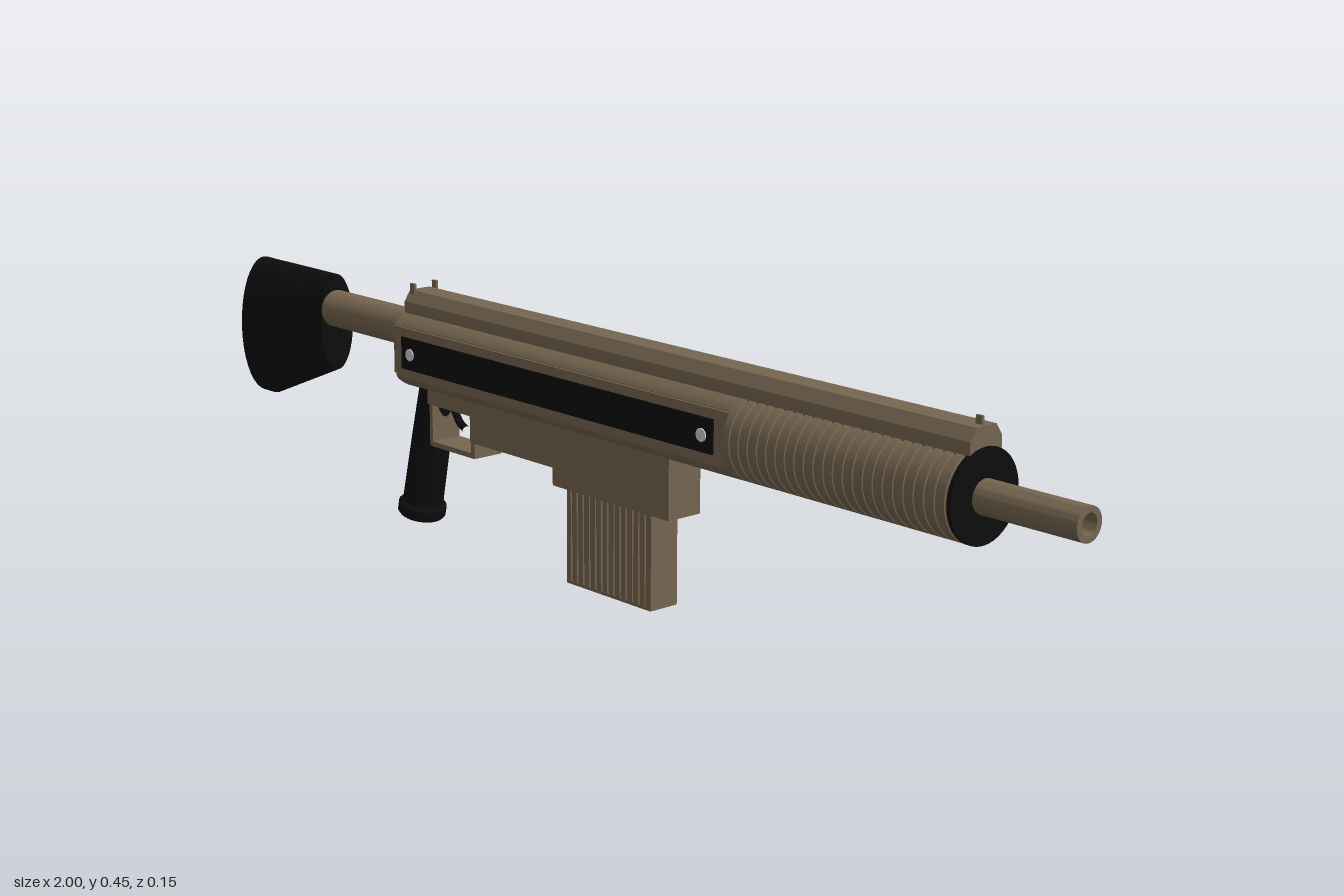
import * as THREE from 'three';
import { toCreasedNormals } from 'three/addons/utils/BufferGeometryUtils.js';

const AXIS = 0.333; // height of the barrel axis

function material(name, color) {
  const m = new THREE.MeshStandardMaterial({ color });
  m.name = name;
  return m;
}

// Skin over elliptical sections [x, centreY, radiusY, radiusZ] along x, closed at both ends.
function loft(sections, sides = 32) {
  const first = sections[0], last = sections[sections.length - 1];
  const rings = [[first[0], first[1], 0, 0], ...sections, [last[0], last[1], 0, 0]];
  const point = ([x, cy, ry, rz], j) => {
    const a = (j % sides) / sides * Math.PI * 2;
    return [x, cy + ry * Math.cos(a), rz * Math.sin(a)];
  };
  const pos = [];
  for (let i = 0; i < rings.length - 1; i++) {
    const p = rings[i], q = rings[i + 1];
    for (let j = 0; j < sides; j++) {
      if (p[2] > 0) pos.push(...point(p, j), ...point(p, j + 1), ...point(q, j));
      if (q[2] > 0) pos.push(...point(p, j + 1), ...point(q, j + 1), ...point(q, j));
    }
  }
  const g = new THREE.BufferGeometry();
  g.setAttribute('position', new THREE.Float32BufferAttribute(pos, 3));
  return toCreasedNormals(g, 0.5);
}

// Round turned part: list of [x, radius]
const turned = (list, cy = AXIS, sides = 32) => loft(list.map(([x, r]) => [x, cy, r, r]), sides);

// Extrude a (z, y) outline along x from x0 to x1
function extrudeX(points, x0, x1) {
  const shape = new THREE.Shape(points.map(([z, y]) => new THREE.Vector2(z, y)));
  const g = new THREE.ExtrudeGeometry(shape, { depth: x1 - x0, bevelEnabled: false });
  g.rotateY(Math.PI / 2).translate(x0, 0, 0);
  return toCreasedNormals(g, 0.5);
}

export function createModel() {
  const model = new THREE.Group();
  const tan = material('tan', 0x766650);
  const black = material('black', 0x0d0d0d);
  const steel = material('steel', 0xcfcfcf);

  const add = (name, geometry, mat) => {
    const mesh = new THREE.Mesh(geometry, mat);
    mesh.name = name;
    model.add(mesh);
    return mesh;
  };
  // Box given by its limits in x, y and z
  const box = (name, mat, x0, x1, y0, y1, z0, z1) =>
    add(name, new THREE.BoxGeometry(x1 - x0, y1 - y0, z1 - z0), mat)
      .position.set((x0 + x1) / 2, (y0 + y1) / 2, (z0 + z1) / 2);

  // Shoulder stock and its tube
  add('stock', loft([[-1, 0.295, 0.13, 0.055], [-0.965, 0.295, 0.13, 0.052], [-0.765, 0.335, 0.09, 0.036]], 40), black);
  add('stockTube', turned([[-0.78, 0.034], [-0.5, 0.034]], 0.361), tan);

  // Receiver: a round body with flattened sides
  const outline = [];
  for (let i = 0; i < 64; i++) {
    const a = i / 64 * Math.PI * 2;
    outline.push([THREE.MathUtils.clamp(0.073 * Math.cos(a), -0.055, 0.055), AXIS + 0.073 * Math.sin(a)]);
  }
  add('receiver', extrudeX(outline, -0.51, 0.35), tan);

  // Ribbed handguard
  const rings = [];
  for (let x = 0.345; x < 0.79; x += 0.02) {
    rings.push([x, 0.073], [x + 0.014, 0.073], [x + 0.015, 0.071], [x + 0.019, 0.071]);
  }
  rings.push([0.805, 0.073]);
  add('handguard', turned(rings, AXIS, 40), tan);
  add('handguardCap', turned([[0.804, 0.0735], [0.811, 0.0735]], AXIS, 40), black);

  // Hollow barrel
  add('barrel', turned([[0.8, 0.027], [1, 0.027], [1, 0.017], [0.92, 0.017]]), tan);
  add('bore', turned([[0.918, 0.016], [0.922, 0.016]]), black);

  // Chamfered top rail and sights
  add('topRail', extrudeX([[-0.034, 0.385], [0.034, 0.385], [0.034, 0.418], [0.021, 0.437], [-0.021, 0.437], [-0.034, 0.418]], -0.51, 0.81), tan);
  const sight = (name, x, z) => box(name, tan, x - 0.006, x + 0.006, 0.43, 0.45, z - 0.0025, z + 0.0025);
  sight('rearSightLeft', -0.497, -0.024);
  sight('rearSightRight', -0.497, 0.024);
  sight('frontSight', 0.797, 0);

  // Side panels with dark strips and screws
  for (const s of [-1, 1]) {
    const side = s > 0 ? 'Front' : 'Back';
    const plate = (name, mat, x0, x1, y0, y1, za, zb) =>
      box(name + side, mat, x0, x1, y0, y1, Math.min(s * za, s * zb), Math.max(s * za, s * zb));
    plate('sidePanel', tan, -0.51, 0.345, 0.293, 0.378, 0.05, 0.059);
    plate('sideStrip', black, -0.485, 0.312, 0.305, 0.362, 0.055, 0.062);
    for (const x of [-0.46, 0.287]) {
      const screw = add('screw' + side, new THREE.CylinderGeometry(0.011, 0.011, 0.006, 16), steel);
      screw.rotation.x = Math.PI / 2;
      screw.position.set(x, AXIS, s * 0.061);
    }
  }

  // Lower housing and magazine well
  box('lowerHousing', tan, -0.33, -0.06, 0.195, 0.3, -0.033, 0.033);
  box('triggerBlock', tan, -0.45, -0.33, 0.242, 0.3, -0.033, 0.033);
  box('magazineWell', tan, -0.105, 0.183, 0.165, 0.3, -0.0345, 0.0345);

  // Magazine with upright ribs
  box('magazine', tan, -0.072, 0.132, 0.003, 0.18, -0.026, 0.026);
  box('magazineBase', tan, -0.075, 0.135, 0, 0.006, -0.029, 0.029);
  for (let i = 0; i < 14; i++) {
    const x = -0.075 + i * 0.0154;
    box('magazineRib', tan, x, x + 0.01, 0.003, 0.17, -0.029, 0.029);
  }

  // Trigger guard and trigger
  box('guardBottom', tan, -0.448, -0.322, 0.166, 0.175, -0.03, 0.03);
  box('guardFront', tan, -0.331, -0.322, 0.17, 0.25, -0.03, 0.03);
  box('guardRear', tan, -0.448, -0.44, 0.17, 0.25, -0.03, 0.03);
  const curve = new THREE.CatmullRomCurve3([[-0.425, 0.25], [-0.412, 0.228], [-0.4, 0.212], [-0.384, 0.203]]
    .map(([x, y]) => new THREE.Vector3(x, y, 0)));
  add('trigger', new THREE.TubeGeometry(curve, 12, 0.007, 8), black);

  // Slanted oval grip with a flared foot
  const grip = add('grip', loft([
    [0, 0, 0.041, 0.04], [0.004, 0, 0.044, 0.043], [0.02, 0, 0.044, 0.043],
    [0.028, 0, 0.036, 0.037], [0.15, 0, 0.034, 0.036], [0.277, 0, 0.029, 0.035],
  ]), black);
  grip.position.set(-0.517, 0.022, 0);
  grip.rotation.z = Math.atan2(0.27, 0.062);

  return model;
}
